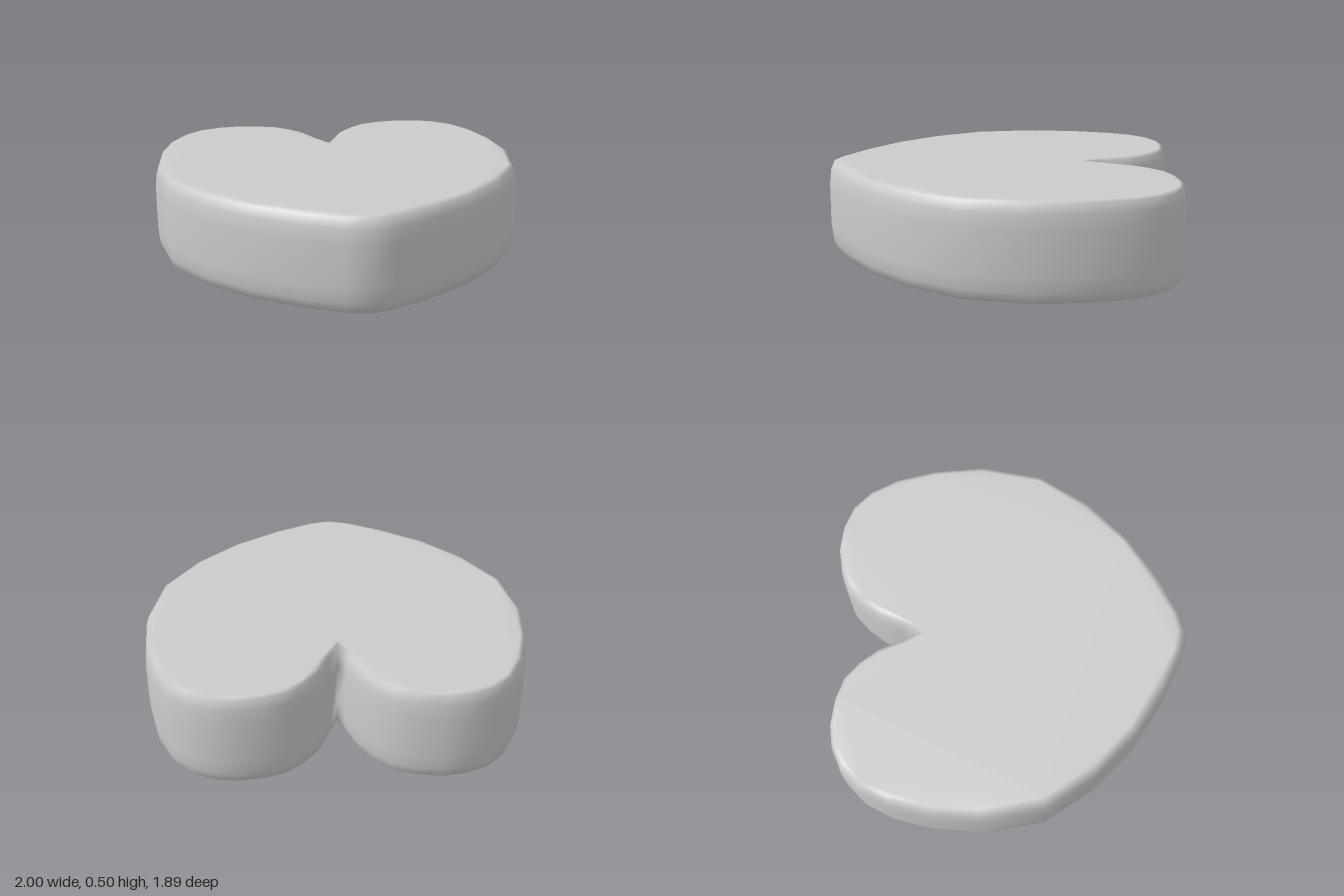
import * as THREE from 'three';

// Right half of the heart outline as x, z, from the rear notch to the front tip
const HALF = [
  [0, -0.46], [0.035, -0.59], [0.085, -0.71], [0.16, -0.81], [0.25, -0.89], [0.36, -0.93],
  [0.5, -0.95], [0.62, -0.935], [0.74, -0.885], [0.84, -0.79], [0.92, -0.64], [0.975, -0.43],
  [1, -0.16], [0.94, 0.17], [0.77, 0.44], [0.56, 0.65], [0.32, 0.81], [0.12, 0.91], [0, 0.94],
];

// Wall profile: share of the edge inset, height
const PROFILE = [[1, 0], [0.5, 0.01], [0.15, 0.06], [0, 0.14], [0, 0.36], [0.15, 0.44], [0.5, 0.49], [1, 0.5]];

function heartGeometry() {
  // Mirror the half into a closed loop
  const loop = [...HALF, ...HALF.slice(1, -1).reverse().map(([x, z]) => [-x, z])]
    .map(([x, z]) => new THREE.Vector2(x, z));
  const n = loop.length;

  // Inward direction at each point, with a softer edge toward the front
  const inward = loop.map((p, i) => {
    const d = loop[(i + 1) % n].clone().sub(loop[(i + n - 1) % n]).normalize();
    const amount = i === 0 ? 0.02 : THREE.MathUtils.mapLinear(p.y, -0.95, 0.94, 0.035, 0.06);
    return i === 0 ? new THREE.Vector2(0, amount) : new THREE.Vector2(-d.y, d.x).multiplyScalar(amount);
  });

  // Stacked rings
  const positions = [];
  const indices = [];
  for (const [inset, y] of PROFILE) {
    loop.forEach((p, i) => positions.push(p.x + inward[i].x * inset, y, p.y + inward[i].y * inset));
  }
  for (let r = 0; r < PROFILE.length - 1; r++) {
    for (let i = 0; i < n; i++) {
      const a = r * n + i;
      const b = r * n + (i + 1) % n;
      indices.push(a, a + n, b, b, a + n, b + n);
    }
  }

  // Flat top and bottom caps
  const rim = loop.map((p, i) => p.clone().add(inward[i]));
  const top = (PROFILE.length - 1) * n;
  for (const [a, b, c] of THREE.ShapeUtils.triangulateShape(rim, [])) {
    const e = rim[b].clone().sub(rim[a]);
    const f = rim[c].clone().sub(rim[a]);
    const [p, q] = e.y * f.x - e.x * f.y > 0 ? [b, c] : [c, b];
    indices.push(top + a, top + p, top + q, a, q, p);
  }

  const geometry = new THREE.BufferGeometry();
  geometry.setAttribute('position', new THREE.Float32BufferAttribute(positions, 3));
  geometry.setIndex(indices);
  geometry.computeVertexNormals();
  return geometry;
}

export function createModel() {
  const group = new THREE.Group();
  group.name = 'heart';
  const body = new THREE.Mesh(heartGeometry(), new THREE.MeshStandardMaterial({ color: 0xcccccc }));
  body.name = 'heartBody';
  group.add(body);
  return group;
}
